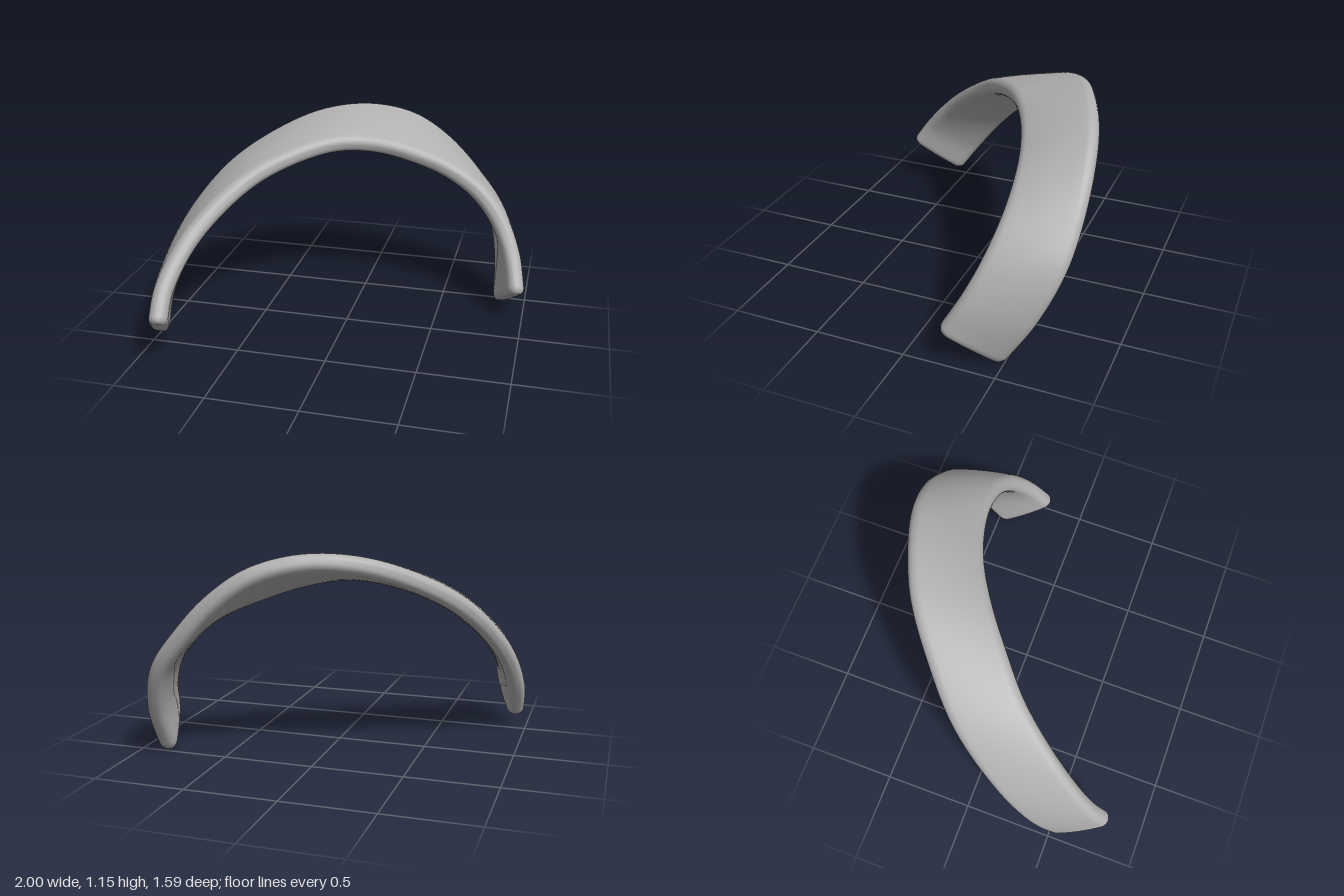
import * as THREE from 'three';

// Matching stations along the band's front and rear edges
const FRONT = [
  [-0.825, 0.295, 0.79], [-0.82, 0.45, 0.675], [-0.725, 0.67, 0.46], [-0.515, 0.88, 0.17],
  [-0.31, 0.975, -0.015], [-0.1, 1.013, -0.18], [0.1, 0.983, -0.3], [0.305, 0.915, -0.378],
  [0.51, 0.832, -0.415], [0.695, 0.715, -0.415], [0.83, 0.56, -0.373], [0.92, 0.39, -0.3], [0.973, 0.205, -0.2],
];
const REAR = [
  [-0.95, 0.08, 0.5], [-0.97, 0.27, 0.365], [-0.922, 0.535, 0.155], [-0.75, 0.83, -0.145],
  [-0.51, 1.008, -0.372], [-0.26, 1.107, -0.555], [0, 1.125, -0.675], [0.24, 1.058, -0.76],
  [0.435, 0.912, -0.8], [0.61, 0.715, -0.805], [0.75, 0.53, -0.775], [0.827, 0.285, -0.67], [0.845, 0, -0.495],
];
const HALF_THICK = 0.058, CORNER = 0.046, END_ROUND = 0.03, SPEED = 2.1;

const edge = (pts) => new THREE.CatmullRomCurve3(pts.map((p) => new THREE.Vector3(...p)));

// Rounded, slightly lens-shaped section, counter-clockwise, as [across, through] pairs
function profile(hw, hh) {
  const r = Math.min(CORNER, hh * 0.9), out = [];
  for (let c = 0; c < 4; c++) {
    const sx = c === 0 || c === 3 ? 1 : -1, sy = c < 2 ? 1 : -1;
    for (let k = 0; k <= 5; k++) {
      const a = (c + k / 5) * Math.PI / 2;
      out.push([sx * (hw - r) + r * Math.cos(a), sy * (hh - r) + r * Math.sin(a)]);
    }
    // extra points across the broad faces
    if (c % 2 === 0) for (let k = 1; k < 8; k++) out.push([sx * (hw - r) * (1 - k / 4), sy * hh]);
  }
  return out.map(([a, b]) => [a, b * (1 - 0.22 * (a / hw) ** 2)]);
}

function bandGeometry() {
  const front = edge(FRONT), rear = edge(REAR);
  const centre = (t) => front.getPoint(t).add(rear.getPoint(t)).multiplyScalar(0.5);

  // Ring positions, packed closely at both rounded ends
  const ends = [0, 1, 2, 3, 4, 5].map((k) => END_ROUND * (1 - Math.cos(k * Math.PI / 10)) / SPEED);
  const ts = [...ends];
  for (let i = 1; i < 110; i++) {
    const t = i / 110;
    if (t > ends[5] + 0.003 && t < 1 - ends[5] - 0.003) ts.push(t);
  }
  ts.push(...ends.map((e) => 1 - e).reverse());

  const pos = [], idx = [];
  let n = 0;
  for (const t of ts) {
    const mid = centre(t);
    const across = front.getPoint(t).sub(rear.getPoint(t));
    const halfWidth = across.length() / 2;
    across.normalize();
    const along = centre(Math.min(1, t + 0.004)).sub(centre(Math.max(0, t - 0.004))).normalize();
    const through = across.clone().cross(along).normalize();
    // Draw the section in near the ends to round their rims
    const d = Math.max(0, END_ROUND - Math.min(t, 1 - t) * SPEED);
    const inset = END_ROUND - Math.sqrt(Math.max(0, END_ROUND ** 2 - d ** 2));
    const ring = profile(halfWidth - inset, HALF_THICK - inset);
    n = ring.length;
    for (const [a, b] of ring) {
      const p = mid.clone().addScaledVector(across, a).addScaledVector(through, b);
      pos.push(p.x, p.y, p.z);
    }
  }
  for (let i = 0; i < ts.length - 1; i++) {
    for (let j = 0; j < n; j++) {
      const k = (j + 1) % n, a = i * n, b = a + n;
      idx.push(a + j, b + j, a + k, b + j, b + k, a + k);
    }
  }
  // End caps
  const last = (ts.length - 1) * n, c0 = pos.length / 3;
  pos.push(...centre(0).toArray(), ...centre(1).toArray());
  for (let j = 0; j < n; j++) {
    const k = (j + 1) % n;
    idx.push(c0, j, k, c0 + 1, last + k, last + j);
  }
  const geo = new THREE.BufferGeometry();
  geo.setAttribute('position', new THREE.Float32BufferAttribute(pos, 3));
  geo.setIndex(idx);
  // Centre and stand on the ground
  geo.computeBoundingBox();
  const { min, max } = geo.boundingBox;
  geo.translate(-(min.x + max.x) / 2, -min.y, -(min.z + max.z) / 2);
  geo.computeVertexNormals();
  return geo;
}

export function createModel() {
  const grey = new THREE.MeshStandardMaterial({ color: 0xb0b0b0 });
  grey.name = 'plain grey';
  const band = new THREE.Mesh(bandGeometry(), grey);
  band.name = 'twistedArchBand';
  const model = new THREE.Group();
  model.name = 'twistedArch';
  model.add(band);
  return model;
}
